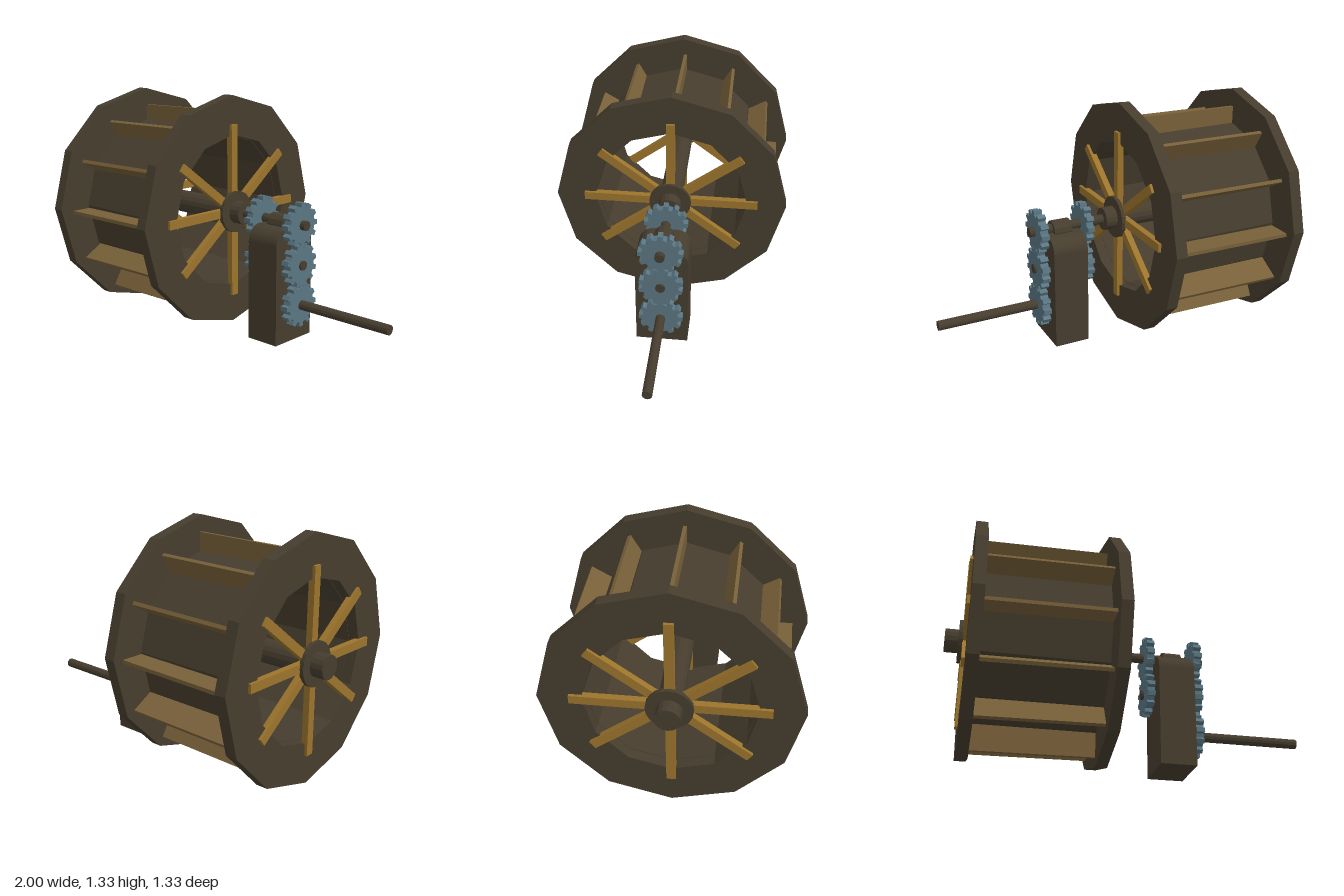
import * as THREE from 'three';

const mat = (name, hex) => {
  const m = new THREE.MeshStandardMaterial({ color: hex, flatShading: true });
  m.name = name;
  return m;
};

const AXLE_Y = 0.663;
const GEAR_STEP = 0.224;

// Regular polygon with its first corner pointing up
function polygon(radius, sides, Type = THREE.Shape) {
  const pts = [];
  for (let i = 0; i < sides; i++) {
    const a = Math.PI / 2 + (i / sides) * Math.PI * 2;
    pts.push(new THREE.Vector2(radius * Math.cos(a), radius * Math.sin(a)));
  }
  return new Type(pts);
}

// Extrudes a shape along x: its own x becomes -z
function alongX(shape, x0, x1) {
  const g = new THREE.ExtrudeGeometry(shape, { depth: x1 - x0, bevelEnabled: false, curveSegments: 6 });
  return g.rotateY(Math.PI / 2).translate(x0, 0, 0);
}

function ringShape(outer, inner, sides) {
  const s = polygon(outer, sides);
  s.holes.push(polygon(inner, sides, THREE.Path));
  return s;
}

// Gear outline with slightly tapered teeth
function gearShape(teeth, root, tip, phase) {
  const pts = [];
  const step = (Math.PI * 2) / teeth;
  for (let i = 0; i < teeth; i++) {
    const a = Math.PI / 2 + phase + i * step;
    for (const [f, r] of [[-0.29, root], [-0.2, tip], [0.2, tip], [0.29, root]]) {
      pts.push(new THREE.Vector2(r * Math.cos(a + f * step), r * Math.sin(a + f * step)));
    }
  }
  return new THREE.Shape(pts);
}

export function createModel() {
  const model = new THREE.Group();
  model.name = 'waterWheelWithGears';
  const darkWood = mat('darkWood', 0x463d2e);
  const paddleWood = mat('paddleWood', 0x786039);
  const spokeWood = mat('spokeWood', 0x9c742c);
  const steel = mat('steel', 0x5a7682);

  const add = (parent, name, geometry, material, y = 0) => {
    const mesh = new THREE.Mesh(geometry, material);
    mesh.name = name;
    mesh.position.y = y;
    parent.add(mesh);
    return mesh;
  };
  const rod = (parent, name, r, x0, x1, y, sides = 12) => {
    const g = new THREE.CylinderGeometry(r, r, x1 - x0, sides).rotateZ(Math.PI / 2);
    return add(parent, name, g.translate((x0 + x1) / 2, 0, 0), darkWood, y);
  };

  // Wheel: two rims, open drum, thick axle
  const wheel = new THREE.Group();
  wheel.name = 'wheel';
  wheel.position.y = AXLE_Y;
  model.add(wheel);
  const rim = ringShape(0.663, 0.44, 12);
  add(wheel, 'rightRim', alongX(rim, -0.89, -0.825), darkWood);
  add(wheel, 'leftRim', alongX(rim, -0.155, -0.09), darkWood);
  add(wheel, 'drum', alongX(ringShape(0.47, 0.437, 12), -0.83, -0.15), darkWood);
  rod(wheel, 'axle', 0.065, -1, 0.012, 0, 16);

  // Spokes and hub discs on both sides
  const spokeAngles = [0, 37, 90, 143, 180, 217, 270, 323];
  for (const [x, hubX, side] of [[-0.888, -0.914, 'right'], [-0.092, -0.068, 'left']]) {
    for (const deg of spokeAngles) {
      const g = new THREE.BoxGeometry(0.036, 0.048, 0.5).translate(0, 0, 0.25);
      const spoke = add(wheel, side + 'Spoke', g, spokeWood);
      spoke.position.x = x;
      spoke.rotation.x = -THREE.MathUtils.degToRad(deg);
    }
    rod(wheel, side + 'Hub', 0.12, hubX - 0.012, hubX + 0.012, 0, 20);
  }

  // Paddles: a little off centre and slightly tilted
  const paddles = new THREE.Group();
  paddles.name = 'paddles';
  paddles.position.set(-0.49, -0.023, -0.01);
  paddles.rotation.z = 0.013;
  wheel.add(paddles);
  for (let i = 0; i < 12; i++) {
    const a = (i * Math.PI) / 6;
    const inner = 0.455 + 0.023 * Math.sin(a) + 0.01 * Math.cos(a);
    const outer = 0.59;
    const g = new THREE.BoxGeometry(0.69, 0.02, outer - inner).translate(0, 0, (inner + outer) / 2);
    add(paddles, 'paddle', g, paddleWood).rotation.x = -a;
  }

  // Post with rounded shoulders and a bearing on top
  const w = 0.147, top = 0.645, r = 0.085;
  const post = new THREE.Shape();
  post.moveTo(-w, 0);
  post.lineTo(w, 0);
  post.lineTo(w, top - r);
  post.absarc(w - r, top - r, r, 0, Math.PI / 2, false);
  post.lineTo(-w + r, top);
  post.absarc(-w + r, top - r, r, Math.PI / 2, Math.PI, false);
  post.closePath();
  add(model, 'post', alongX(post, 0.17, 0.37), darkWood);
  rod(model, 'bearing', 0.055, 0.22, 0.325, 0.651);

  // Shafts
  rod(model, 'topShaft', 0.027, 0, 0.458, AXLE_Y);
  rod(model, 'middleShaft', 0.027, 0.098, 0.44, AXLE_Y - GEAR_STEP);
  rod(model, 'outputShaft', 0.027, 0.37, 1, AXLE_Y - 2 * GEAR_STEP);

  // Gears: two beside the wheel, three on the far side
  for (const [x0, x1, count, name] of [[0.113, 0.155, 2, 'innerGear'], [0.382, 0.428, 3, 'outerGear']]) {
    for (let i = 0; i < count; i++) {
      const shape = gearShape(12, 0.1, 0.123, i === 1 ? Math.PI / 12 : 0);
      add(model, name, alongX(shape, x0, x1), steel, AXLE_Y - i * GEAR_STEP);
    }
  }
  return model;
}
